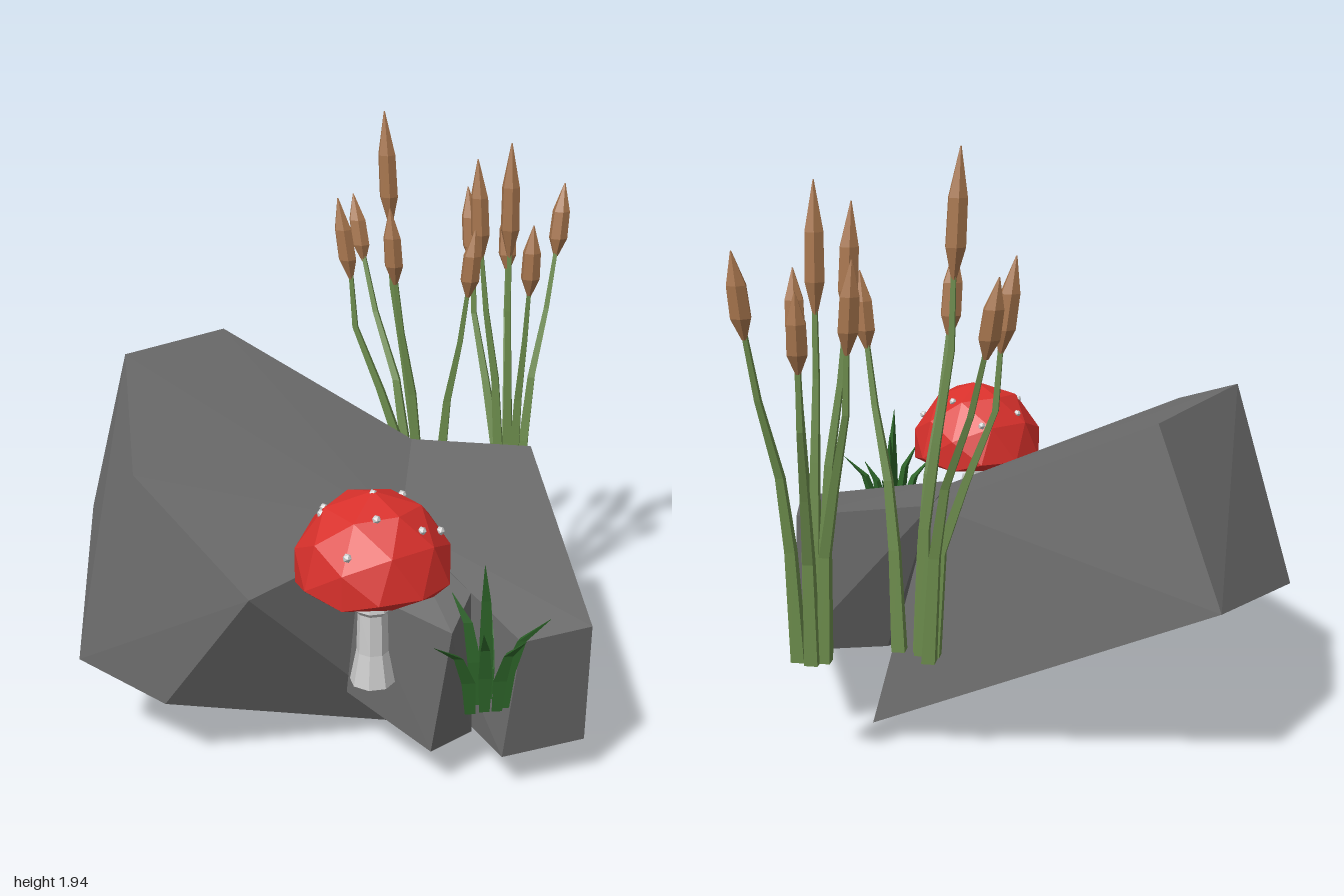
import * as THREE from 'three';
import { ConvexGeometry } from 'three/addons/geometries/ConvexGeometry.js';

const mat = (color) => new THREE.MeshStandardMaterial({ color, flatShading: true, side: THREE.DoubleSide });
const ROCK = mat(0x6c6c6c), RED = mat(0xd8302b), GREY = mat(0xcccccc);
const STEM = mat(0x6c8c4c), HEAD = mat(0xa8764e), GRASS = mat(0x2d6429);

function add(parent, name, geometry, material) {
  const mesh = new THREE.Mesh(geometry, material);
  mesh.name = name;
  parent.add(mesh);
  return mesh;
}

function group(parent, name) {
  const g = new THREE.Group();
  g.name = name;
  parent.add(g);
  return g;
}

// Stack of horizontal rings: each section is [x, y, z, radius]
function stalk(sections, sides) {
  const pos = [], idx = [];
  sections.forEach(([x, y, z, r]) => {
    for (let i = 0; i < sides; i++) {
      const a = (i / sides) * Math.PI * 2;
      pos.push(x + r * Math.sin(a), y, z + r * Math.cos(a));
    }
  });
  for (let s = 0; s < sections.length - 1; s++) {
    for (let i = 0; i < sides; i++) {
      const j = (i + 1) % sides, a = s * sides + i, b = s * sides + j;
      idx.push(a, b, b + sides, a, b + sides, a + sides);
    }
  }
  const g = new THREE.BufferGeometry();
  g.setAttribute('position', new THREE.Float32BufferAttribute(pos, 3));
  g.setIndex(idx);
  g.computeVertexNormals();
  return g;
}

function rock(parent, name, corners) {
  add(parent, name, new ConvexGeometry(corners.map((c) => new THREE.Vector3(...c))), ROCK);
}

function buildRocks(root) {
  const rocks = group(root, 'rocks');
  // Large slanted boulder
  rock(rocks, 'mainBoulder', [
    [-1, 0.6, 0.13], [-0.77, 1.14, 0.07], [-0.61, 1.17, 0.55], [-0.04, 0.98, 0.83],
    [-0.83, 0.55, 0.6], [-0.19, 0.33, 0.98], [0.08, 0.24, 0.82], [0.34, 0.66, 0.66],
    [0.27, 0.72, 0.04], [-0.16, 0.81, -0.33], [-0.03, 0.06, -0.48], [0.17, 0, -0.27], [0.32, 0.02, 0.03],
  ]);
  // Lower boulder reaching back and to the side
  rock(rocks, 'sideBoulder', [
    [-0.16, 0.81, -0.33], [0.08, 0.78, -0.68], [0.92, 0.56, -0.2], [0.86, 0.55, 0.03],
    [0.27, 0.73, 0.04], [0.08, 0.33, -0.7], [0.88, 0.14, -0.23], [0.8, 0.13, 0.04],
    [0.2, 0.22, 0], [0, 0.3, -0.4],
  ]);
  // Block under the mushroom
  rock(rocks, 'frontBlock', [
    [0.38, 0.61, 0.29], [0.74, 0.58, 0.2], [0.6, 0.63, 0], [0.27, 0.72, 0.04],
    [0.32, 0.22, 0.29], [0.66, 0.14, 0.21], [0.64, 0.14, 0.03], [0.3, 0.18, 0],
  ]);
}

function buildMushroom(root) {
  const mushroom = group(root, 'mushroom');
  mushroom.position.set(0.53, 0, 0.34);
  const profile = [[0, 0.375], [0.07, 0.375], [0.05, 0.48], [0.046, 0.61], [0.06, 0.625], [0.055, 0.645], [0.042, 0.65], [0.045, 0.76]];
  add(mushroom, 'mushroomStem', new THREE.LatheGeometry(profile.map((p) => new THREE.Vector2(...p)), 8), GREY);
  // Faceted dome with a flattened underside
  const cap = new THREE.IcosahedronGeometry(0.245, 1);
  const p = cap.attributes.position;
  for (let i = 0; i < p.count; i++) {
    const y = p.getY(i);
    p.setY(i, y < -0.05 ? -0.03 : y * 1.05);
  }
  cap.computeVertexNormals();
  add(mushroom, 'mushroomCap', cap, RED).position.y = 0.745;
  // Warts resting on the dome
  const warts = [[-0.17, -0.1], [-0.03, -0.13], [0.12, -0.16], [0.16, -0.06], [0.1, 0.06], [0.11, 0.17], [-0.08, 0.13], [0, 0], [-0.17, 0.06]];
  for (const [x, z] of warts) {
    const y = 0.745 + 1.05 * Math.sqrt(0.236 ** 2 - x * x - z * z);
    add(mushroom, 'capWart', new THREE.IcosahedronGeometry(0.014, 0), GREY).position.set(x, y, z);
  }
}

function buildCattails(root) {
  const cattails = group(root, 'cattails');
  // Each: head x, head z, bottom and top height of the head
  const heads = [
    [-0.11, -0.95, 1.4, 1.66], [-0.3, -0.87, 1.32, 1.56], [0.035, -0.69, 1.32, 1.57], [-0.06, -0.67, 1.44, 1.84],
    [-0.14, -0.6, 1.43, 1.78], [-0.32, -0.71, 1.36, 1.64], [-0.07, -0.51, 1.32, 1.56], [-0.34, -0.35, 1.55, 1.94],
    [-0.24, -0.3, 1.36, 1.63], [-0.47, -0.26, 1.34, 1.63], [-0.61, -0.42, 1.36, 1.6],
  ];
  heads.forEach(([hx, hz, low, high], n) => {
    const [cx, cz] = n < 6 ? [-0.08, -0.72] : [-0.24, -0.47];
    const dx = hx - cx, dz = hz - cz;
    const at = (t, y, r) => [cx + dx * t, y, cz + dz * t, r];
    const tall = low - 0.37, kink = n % 2 ? 0.08 : -0.04;
    add(cattails, 'cattailStem', stalk([
      at(0.25, 0.37, 0.03), at(0.33, 0.37 + tall * 0.35, 0.023), at(0.5 + kink, 0.37 + tall * 0.58, 0.018),
      at(0.8 + kink, 0.37 + tall * 0.82, 0.013), at(0.93, low + 0.02, 0.01),
    ], 4), STEM);
    // Spindle-shaped seed head leaning outward
    const h = high - low;
    add(cattails, 'cattailHead', stalk([
      at(0.93, low, 0.008), at(0.97, low + h * 0.25, 0.034), at(1.02, low + h * 0.62, 0.032), at(1.08, high, 0.002),
    ], 6), HEAD);
  });
}

function buildGrass(root) {
  const grass = group(root, 'grassTuft');
  // Each blade: tip x, z offsets and tip height
  const blades = [
    [0.03, 0.04, 0.85], [-0.03, -0.02, 0.77], [-0.08, 0.07, 0.73], [0.14, -0.03, 0.63],
    [0.13, -0.13, 0.67], [0.03, 0.22, 0.64], [-0.1, -0.1, 0.62], [0.08, 0.08, 0.66],
  ];
  for (const [dx, dz, top] of blades) {
    const at = (t, u, r) => [0.84 + dx * t, 0.37 + (top - 0.37) * u, 0.15 + dz * t, r];
    add(grass, 'grassBlade', stalk([
      at(0.3, 0, 0.018), at(0.35, 0.4, 0.024), at(0.55, 0.75, 0.016), at(1, 1, 0.001),
    ], 3), GRASS);
  }
}

export function createModel() {
  const root = new THREE.Group();
  root.name = 'rockGarden';
  buildRocks(root);
  buildMushroom(root);
  buildCattails(root);
  buildGrass(root);
  return root;
}
